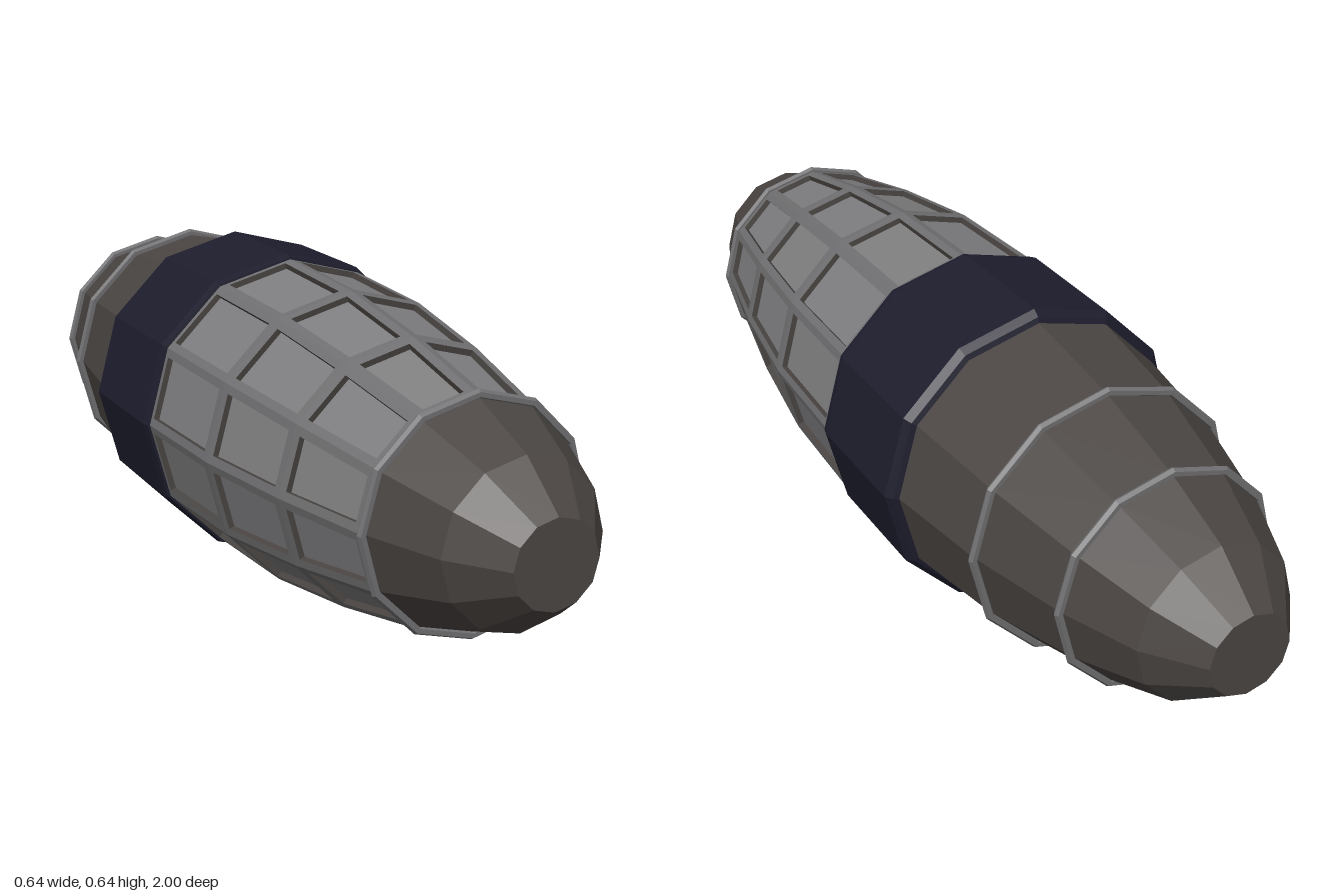
import * as THREE from 'three';

const SIDES = 12;
const CENTRE_Y = 0.322;

export function createModel() {
  const hull = new THREE.MeshStandardMaterial({ color: 0x4b4643 });
  hull.name = 'brown hull';
  const frame = new THREE.MeshStandardMaterial({ color: 0x707072 });
  frame.name = 'grey frame';
  const pane = new THREE.MeshStandardMaterial({ color: 0x7e7e80 });
  pane.name = 'light grey panel';
  const navy = new THREE.MeshStandardMaterial({ color: 0x1d1d2d });
  navy.name = 'dark navy';

  const group = new THREE.Group();
  const body = new THREE.Group();
  body.name = 'body';
  body.position.y = CENTRE_Y;
  group.add(body);

  function add(name, geometry, material) {
    const flat = geometry.index ? geometry.toNonIndexed() : geometry;
    flat.computeVertexNormals();
    const mesh = new THREE.Mesh(flat, material);
    mesh.name = name;
    body.add(mesh);
  }

  // Faceted shell around the z axis from [z, radius] pairs, back to front
  function shell(name, profile, material) {
    const points = profile.map(([z, r]) => new THREE.Vector2(r, z));
    add(name, new THREE.LatheGeometry(points, SIDES).rotateX(Math.PI / 2), material);
  }

  // Closed hull ends and the navy waist band
  shell('rearHull', [[-1, 0], [-1, 0.082], [-0.9, 0.16], [-0.75, 0.216], [-0.53, 0.27],
    [-0.27, 0.304]], hull);
  shell('noseCone', [[0.74, 0.217], [0.9, 0.158], [1, 0.082], [1, 0]], hull);
  shell('waistBand', [[-0.3, 0.298], [-0.295, 0.311], [-0.28, 0.322], [-0.015, 0.322],
    [0, 0.318], [0.002, 0.306]], navy);

  // Thin raised rings
  [['noseRing', 0.745, 0.221], ['rearRing', -0.54, 0.274], ['tailRing', -0.75, 0.221]]
    .forEach(([name, z, r]) => {
      const ring = new THREE.TorusGeometry(r, 0.009, 6, SIDES);
      add(name, ring.translate(0, 0, z), frame);
    });

  // Panelled front section: each facet has three recessed panels in a frame
  const stations = [[0, 0.313], [0.27, 0.303], [0.515, 0.268], [0.74, 0.221]];
  const RIB = 0.017;
  const DEPTH = 0.012;
  const frameTris = [], wallTris = [], paneTris = [];
  const quad = (out, a, b, c, d) =>
    [a, b, c, a, c, d].forEach((p) => out.push(p.x, p.y, p.z));
  const onRing = (angle, [z, r]) =>
    new THREE.Vector3(r * Math.cos(angle), r * Math.sin(angle), z);

  for (let s = 0; s < SIDES; s++) {
    const a0 = (s * 2 * Math.PI) / SIDES;
    const a1 = ((s + 1) * 2 * Math.PI) / SIDES;
    for (let row = 0; row < 3; row++) {
      const near = stations[row], far = stations[row + 1];
      const outer = [onRing(a0, near), onRing(a1, near), onRing(a1, far), onRing(a0, far)];
      const normal = outer[1].clone().sub(outer[0])
        .cross(outer[3].clone().sub(outer[0])).normalize();
      const length = far[0] - near[0];
      const v0 = (row === 0 ? 0.012 : RIB) / length;
      const v1 = 1 - RIB / length;
      const at = (side, v) => {
        const left = outer[0].clone().lerp(outer[3], v);
        const right = outer[1].clone().lerp(outer[2], v);
        const u = RIB / left.distanceTo(right);
        return left.lerp(right, side ? 1 - u : u);
      };
      const inner = [at(0, v0), at(1, v0), at(1, v1), at(0, v1)];
      const sunk = inner.map((p) => p.clone().addScaledVector(normal, -DEPTH));
      for (let i = 0; i < 4; i++) {
        const j = (i + 1) % 4;
        quad(frameTris, outer[i], outer[j], inner[j], inner[i]);
        quad(wallTris, inner[i], inner[j], sunk[j], sunk[i]);
      }
      quad(paneTris, ...sunk);
    }
  }
  [['panelFrame', frameTris, frame], ['panelRecessWalls', wallTris, hull],
    ['panels', paneTris, pane]].forEach(([name, tris, material]) => {
    const geometry = new THREE.BufferGeometry();
    geometry.setAttribute('position', new THREE.Float32BufferAttribute(tris, 3));
    add(name, geometry, material);
  });

  return group;
}
